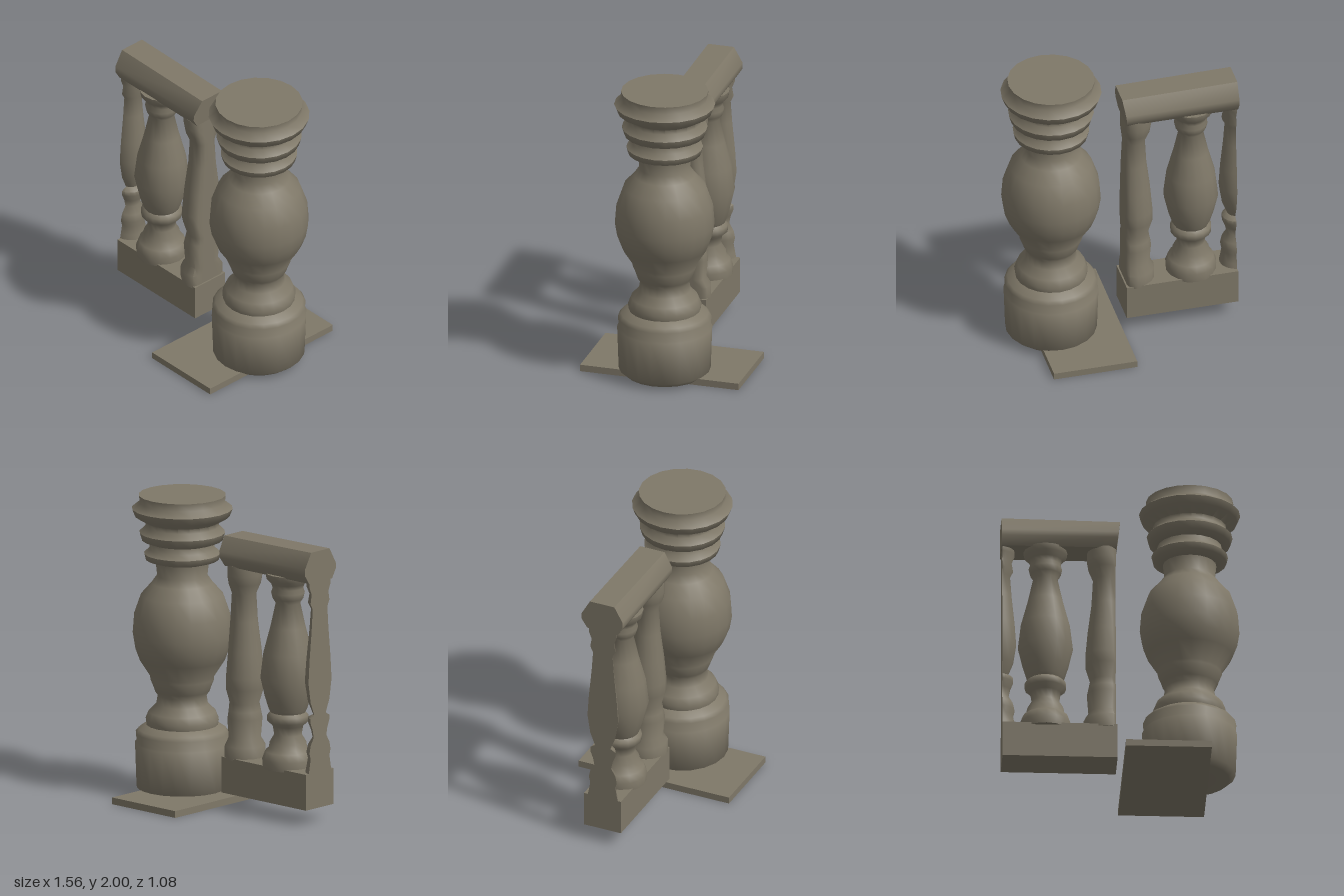
import * as THREE from 'three';
import { toCreasedNormals } from 'three/addons/utils/BufferGeometryUtils.js';

const stone = new THREE.MeshStandardMaterial({ color: 0x7f7868 });
stone.name = 'weathered stone';

// Closed turned shape from [radius, height] pairs, optionally cut flat at world x limits
function turned(name, profile, x, segments, minX = -2, maxX = 2) {
  const pts = profile.map(([r, y]) => new THREE.Vector2(r, y));
  pts.unshift(new THREE.Vector2(0, profile[0][1]));
  pts.push(new THREE.Vector2(0, profile[profile.length - 1][1]));
  const geo = new THREE.LatheGeometry(pts, segments);
  geo.translate(x, 0, 0);
  const p = geo.attributes.position;
  for (let i = 0; i < p.count; i++) {
    p.setX(i, Math.min(maxX, Math.max(minX, p.getX(i))));
  }
  return part(name, toCreasedNormals(geo, 1.05));
}

function part(name, geo) {
  const mesh = new THREE.Mesh(geo, stone);
  mesh.name = name;
  return mesh;
}

function box(name, x0, x1, y0, y1, z0, z1) {
  const geo = new THREE.BoxGeometry(x1 - x0, y1 - y0, z1 - z0);
  geo.translate((x0 + x1) / 2, (y0 + y1) / 2, (z0 + z1) / 2);
  return part(name, geo);
}

export function createModel() {
  const model = new THREE.Group();
  model.name = 'balustrade';

  // Large free-standing baluster on its plate
  const column = new THREE.Group();
  column.name = 'largeBaluster';
  column.add(box('basePlate', 0.01, 0.57, 0, 0.045, -0.54, 0.54));
  column.add(turned('columnBody', [
    [0.26, 0.015], [0.3, 0.05], [0.31, 0.34], [0.3, 0.35], [0.305, 0.41], [0.285, 0.435],
    [0.235, 0.465], [0.24, 0.5], [0.22, 0.55], [0.17, 0.6], [0.16, 0.66], [0.18, 0.69],
    [0.19, 0.72], [0.21, 0.77], [0.21, 0.79], [0.28, 0.9], [0.31, 0.98], [0.325, 1.07],
    [0.315, 1.2], [0.27, 1.33], [0.2, 1.41], [0.165, 1.46], [0.175, 1.55], [0.24, 1.57],
    [0.25, 1.61], [0.215, 1.64], [0.21, 1.68], [0.265, 1.7], [0.28, 1.75], [0.24, 1.79],
    [0.24, 1.82], [0.31, 1.86], [0.33, 1.91], [0.28, 1.95], [0.285, 2],
  ], 0.45, 20));
  model.add(column);

  // Railing panel: plinth, three balusters and a handrail
  const panel = new THREE.Group();
  panel.name = 'railingPanel';
  panel.add(box('plinth', -0.775, -0.025, 0.105, 0.345, -0.135, 0.13));

  panel.add(turned('middleBaluster', [
    [0.165, 0.33], [0.168, 0.39], [0.15, 0.44], [0.125, 0.46], [0.12, 0.5], [0.09, 0.55],
    [0.1, 0.61], [0.135, 0.64], [0.135, 0.68], [0.115, 0.7], [0.125, 0.72], [0.15, 0.8],
    [0.18, 0.93], [0.16, 1.1], [0.115, 1.27], [0.08, 1.43], [0.1, 1.46], [0.11, 1.5],
    [0.1, 1.53], [0.11, 1.56], [0.14, 1.59], [0.145, 1.63],
  ], -0.49, 16));

  // End balusters, cut flat where the panel ends
  panel.add(turned('rightEndBaluster', [
    [0.11, 0.33], [0.1, 0.38], [0.09, 0.44], [0.1, 0.48], [0.09, 0.53], [0.06, 0.58],
    [0.07, 0.63], [0.09, 0.68], [0.09, 0.71], [0.055, 0.73], [0.09, 0.82], [0.11, 0.95],
    [0.1, 1.1], [0.08, 1.3], [0.07, 1.44], [0.09, 1.48], [0.08, 1.54], [0.1, 1.59], [0.1, 1.63],
  ], -0.79, 16, -0.775));
  panel.add(turned('leftEndBaluster', [
    [0.14, 0.33], [0.14, 0.42], [0.11, 0.47], [0.12, 0.6], [0.11, 0.65], [0.1, 0.7],
    [0.13, 0.8], [0.13, 0.88], [0.115, 1.05], [0.09, 1.25], [0.08, 1.43], [0.11, 1.5],
    [0.12, 1.56], [0.12, 1.63],
  ], -0.1, 16, -2, -0.035));

  // Chamfered handrail, extruded along x
  const section = new THREE.Shape();
  [[-0.11, 1.62], [0.11, 1.62], [0.145, 1.68], [0.145, 1.72], [0.085, 1.815],
    [-0.09, 1.815], [-0.15, 1.72], [-0.15, 1.68]].forEach(([z, y], i) => {
    if (i) section.lineTo(-z, y); else section.moveTo(-z, y);
  });
  const rail = new THREE.ExtrudeGeometry(section, { depth: 0.765, bevelEnabled: false });
  rail.rotateY(Math.PI / 2);
  rail.translate(-0.78, 0, 0);
  // Lean the inner end and let the top settle slightly toward it
  const p = rail.attributes.position;
  for (let i = 0; i < p.count; i++) {
    const x = p.getX(i), y = p.getY(i);
    if (x > -0.1) p.setX(i, -0.03 + (y - 1.62) * 0.12);
    else if (y > 1.8) p.setY(i, 1.825);
  }
  panel.add(part('handrail', toCreasedNormals(rail, 0.8)));
  model.add(panel);

  return model;
}
